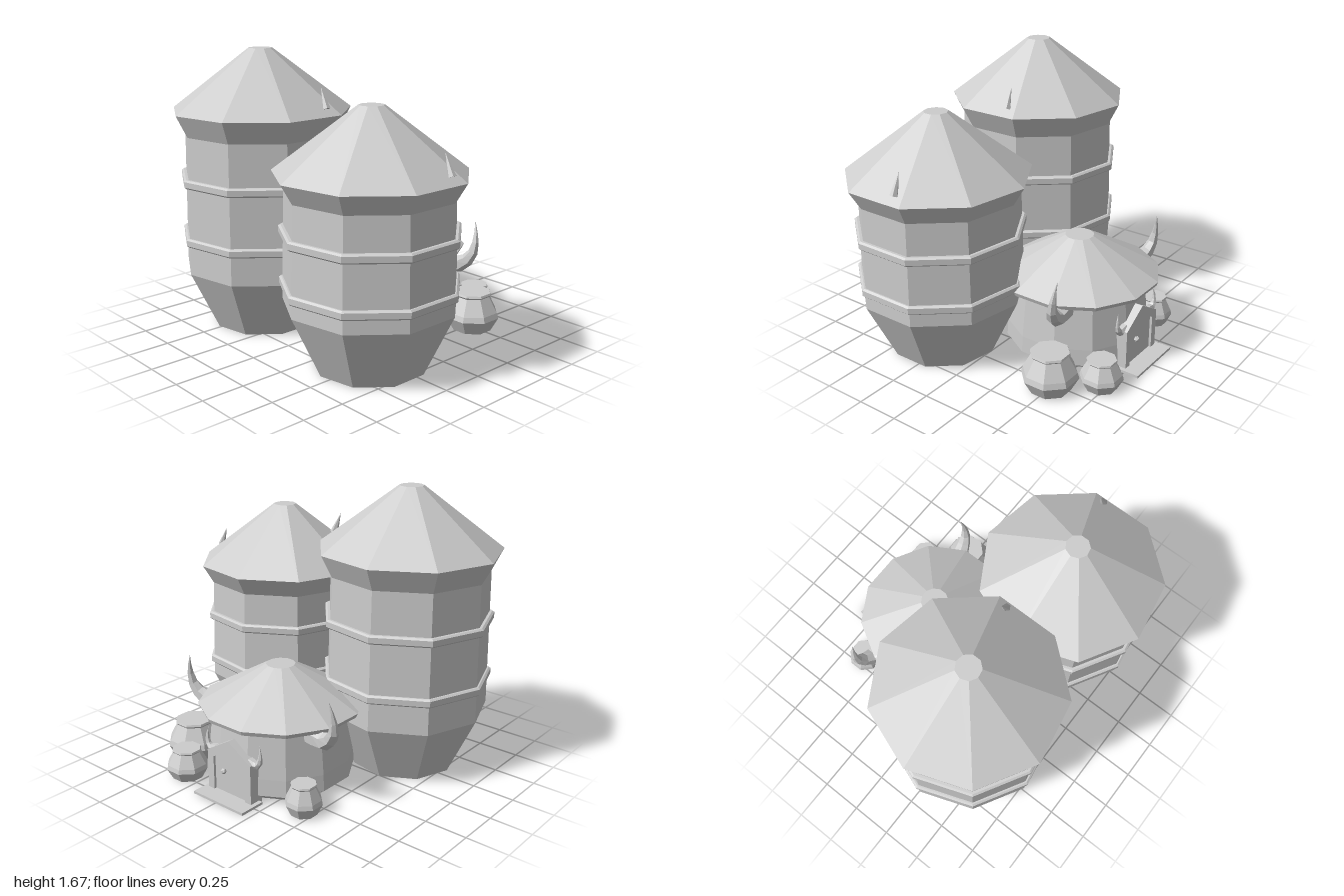
import * as THREE from 'three';

export function createModel() {
  const model = new THREE.Group();
  const stone = new THREE.MeshStandardMaterial({ color: 0xcccccc, flatShading: true });
  stone.name = 'plain grey';

  const add = (name, geometry, x = 0, y = 0, z = 0, parent = model) => {
    const mesh = new THREE.Mesh(geometry, stone);
    mesh.name = name;
    mesh.position.set(x, y, z);
    parent.add(mesh);
    return mesh;
  };
  // Faceted body of revolution from [radius, height] pairs, bottom to top
  const turned = (profile, sides, start) =>
    new THREE.LatheGeometry(profile.map(([r, y]) => new THREE.Vector2(r, y)), sides, start);

  // Curved tube that tapers to a point
  function tusk(points, radius, sides = 6, steps = 7) {
    const path = new THREE.CatmullRomCurve3(points.map((p) => new THREE.Vector3(...p)));
    const geo = new THREE.TubeGeometry(path, steps, radius, sides);
    const pos = geo.attributes.position;
    const v = new THREE.Vector3();
    for (let i = 0; i < pos.count; i++) {
      const t = Math.floor(i / (sides + 1)) / steps;
      const c = path.getPointAt(t);
      v.fromBufferAttribute(pos, i).sub(c).multiplyScalar(Math.max(1 - t, 0.01)).add(c);
      pos.setXYZ(i, v.x, v.y, v.z);
    }
    return geo;
  }

  // Nine-sided towers with two bands and a roof spike
  function tower(name, x, neck, eave, top, bands) {
    const g = new THREE.Group();
    g.name = name;
    g.position.set(x, 0, 0.31);
    model.add(g);
    const start = -Math.PI / 2;
    add('towerWall', turned([[0, 0], [0.32, 0], [0.49, 0.36], [0.475, neck]], 9, start), 0, 0, 0, g);
    add('towerRoof', turned([[0.475, neck], [0.54, eave], [0.07, top], [0, top]], 9, start), 0, 0, 0, g);
    for (const y of bands) {
      add('towerBand', turned([[0.46, -0.025], [0.495, -0.025], [0.507, -0.015],
        [0.507, 0.018], [0.495, 0.027], [0.46, 0.027]], 9, start), 0, y, 0, g);
    }
    const spike = add('roofSpike', new THREE.ConeGeometry(0.024, 0.13, 6), 0.44, eave + 0.1, -0.11, g);
    spike.rotation.z = 0.38;
  }
  tower('tallTower', -0.46, 1.18, 1.31, 1.67, [0.555, 0.907]);
  tower('shortTower', 0.49, 0.97, 1.08, 1.44, [0.463, 0.755]);

  // Twelve-sided hut
  const hut = new THREE.Group();
  hut.name = 'hut';
  hut.position.set(-0.02, 0, -0.31);
  model.add(hut);
  add('hutWall', turned([[0, 0], [0.36, 0], [0.43, 0.05], [0.425, 0.15], [0.395, 0.44]], 12, Math.PI / 12), 0, 0, 0, hut);
  add('hutRoof', turned([[0.36, 0.42], [0.47, 0.43], [0.48, 0.455], [0.085, 0.68], [0, 0.68]], 12, Math.PI / 12), 0, 0, 0, hut);

  // Door: gabled frame, inset panel, knob and doorstep
  const gable = (w, side, peak) => {
    const s = new THREE.Shape();
    s.moveTo(-w, 0);
    s.lineTo(w, 0);
    s.lineTo(w, side);
    s.lineTo(0, peak);
    s.lineTo(-w, side);
    s.closePath();
    return s;
  };
  const frame = gable(0.165, 0.25, 0.35);
  frame.holes.push(gable(0.12, 0.22, 0.29));
  add('doorFrame', new THREE.ExtrudeGeometry(frame, { depth: 0.09, bevelEnabled: false }), 0, 0, -0.44, hut);
  add('doorPanel', new THREE.ExtrudeGeometry(gable(0.125, 0.225, 0.295), { depth: 0.07, bevelEnabled: false }), 0, 0, -0.425, hut);
  add('doorKnob', new THREE.IcosahedronGeometry(0.018), 0.045, 0.15, -0.437, hut);
  add('doorstep', new THREE.BoxGeometry(0.38, 0.015, 0.16), 0, 0.0075, -0.455, hut);

  // Large wall tusks and small door tusks, mirrored
  for (const s of [1, -1]) {
    add('wallTusk', tusk([[s * 0.34, 0.4, -0.13], [s * 0.46, 0.39, -0.16], [s * 0.535, 0.46, -0.185],
      [s * 0.55, 0.55, -0.2], [s * 0.53, 0.66, -0.215]], 0.07), 0, 0, 0, hut);
    add('doorTusk', tusk([[s * 0.13, 0.25, -0.4], [s * 0.185, 0.25, -0.4], [s * 0.205, 0.3, -0.4],
      [s * 0.195, 0.37, -0.395]], 0.03), 0, 0, 0, hut);
  }

  // Eight-sided pots
  for (const [x, z, r, h] of [[0.53, -0.495, 0.165, 0.235], [0.355, -0.72, 0.125, 0.18], [-0.44, -0.6, 0.108, 0.18]]) {
    add('pot', turned([[0, 0], [0.72 * r, 0], [r, 0.36 * h], [0.94 * r, 0.5 * h],
      [0.63 * r, 0.9 * h], [0.7 * r, 0.95 * h], [0.67 * r, h], [0, h]], 8, Math.PI / 8), x, 0, z);
  }
  return model;
}
